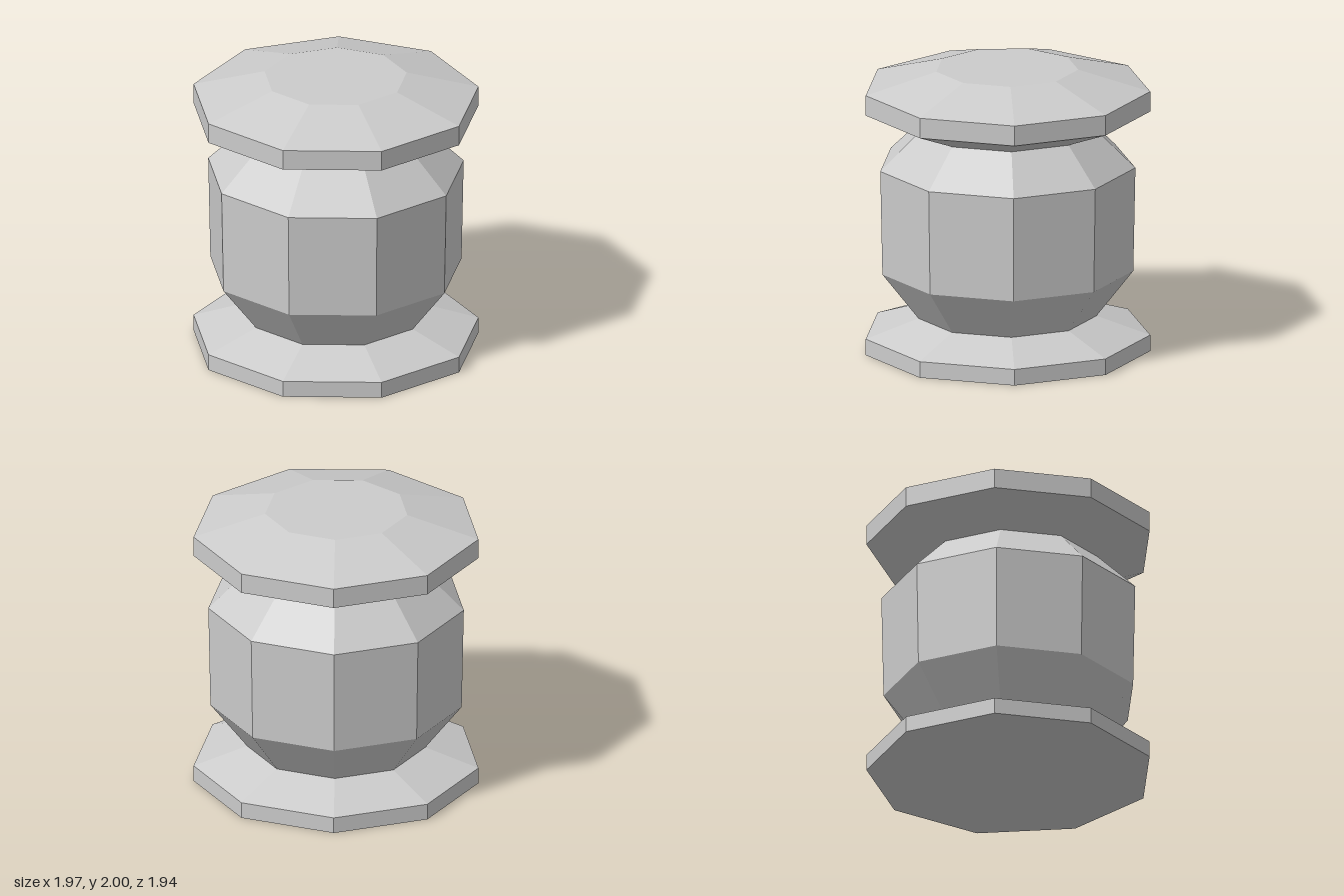
import * as THREE from 'three';

const SIDES = 9;
const material = new THREE.MeshStandardMaterial({ color: 0xcccccc, flatShading: true });

// Nine-sided turned section from [radius, height] pairs, bottom to top
function turned(name, profile) {
  const points = profile.map(([r, y]) => new THREE.Vector2(r, y));
  const mesh = new THREE.Mesh(new THREE.LatheGeometry(points, SIDES), material);
  mesh.name = name;
  return mesh;
}

export function createModel() {
  const group = new THREE.Group();
  group.name = 'jar';

  const neck = 0.625;
  const rim = 0.998;

  group.add(
    // Flared foot with a closed underside
    turned('base', [[0, 0], [rim, 0], [rim, 0.115], [neck, 0.24]]),
    // Bulging middle between the two necks
    turned('body', [[neck, 0.24], [0.88, 0.57], [0.895, 1.31], [neck, 1.57]]),
    // Wide lid with a bevelled, closed top
    turned('lid', [[neck, 1.57], [rim, 1.717], [rim, 1.86], [0.498, 2], [0, 2]])
  );

  // Centre the odd-sided outline in depth
  group.children.forEach((part) => { part.position.z = -0.03; });
  return group;
}
